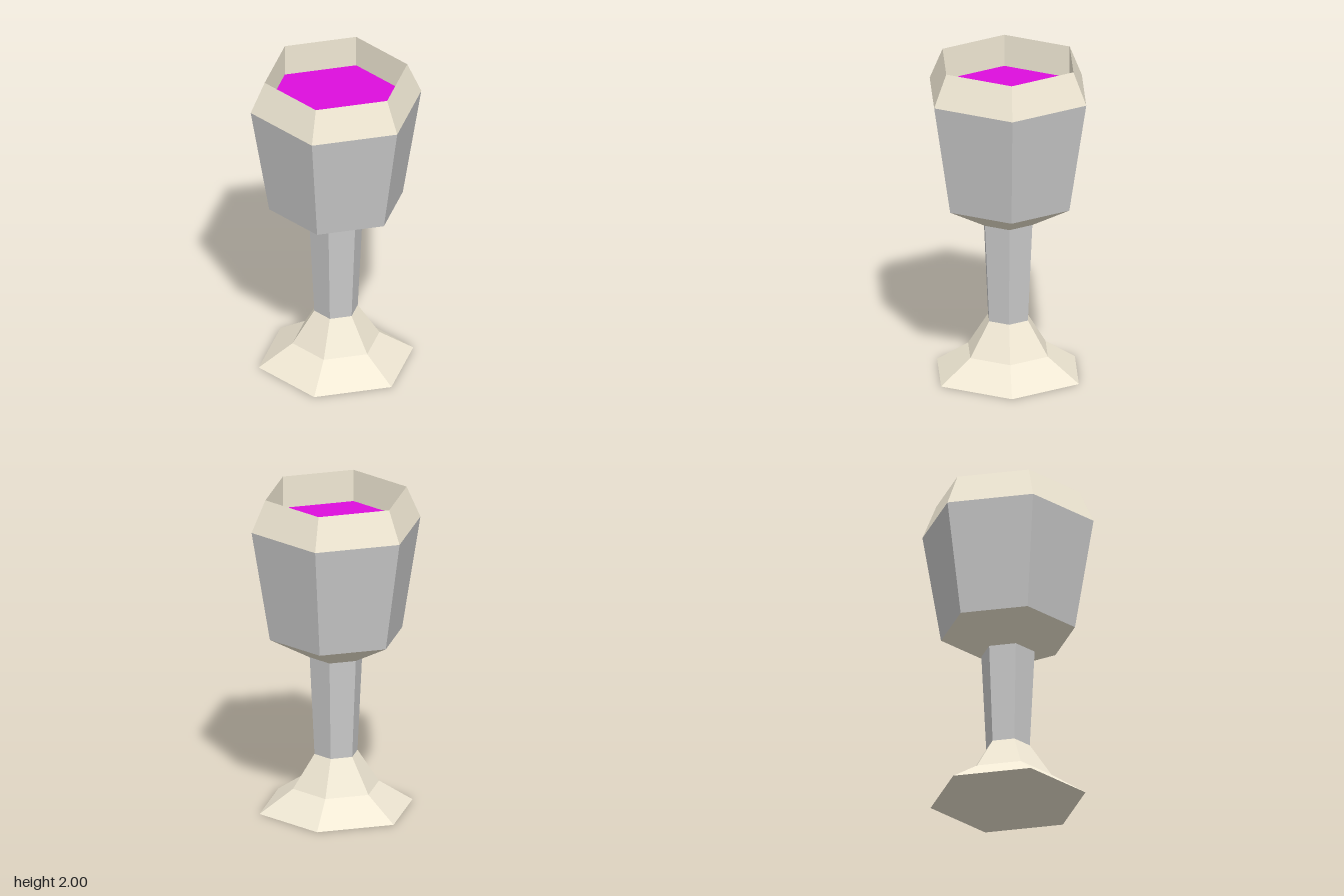
import * as THREE from 'three';

const SIDES = 6;

// Six-sided turned part; profile points are [radius, height]
function turned(name, color, profile) {
  const points = profile.map(([r, y]) => new THREE.Vector2(r, y));
  const geometry = new THREE.LatheGeometry(points, SIDES, Math.PI / 2);
  const material = new THREE.MeshStandardMaterial({ color, flatShading: true });
  const mesh = new THREE.Mesh(geometry, material);
  mesh.name = name;
  return mesh;
}

export function createModel() {
  const cream = 0xf0e8d4, grey = 0xcccccc, magenta = 0xdd0edd;
  const goblet = new THREE.Group();
  goblet.name = 'goblet';
  goblet.add(
    // Flared foot with closed underside
    turned('foot', cream, [[0, 0], [0.48, 0], [0.27, 0.14], [0.135, 0.35]]),
    turned('stem', grey, [[0.135, 0.35], [0.165, 0.97]]),
    // Cup: underside, wall, then rim folding over to its inner wall
    turned('cupUnderside', cream, [[0.165, 0.97], [0.415, 1.105]]),
    turned('cupWall', grey, [[0.415, 1.105], [0.53, 1.8]]),
    turned('rim', cream, [[0.53, 1.8], [0.443, 2], [0.443, 1.8]]),
    // Drink surface inside the rim
    turned('drink', magenta, [[0.443, 1.8], [0, 1.8]]),
  );
  return goblet;
}
